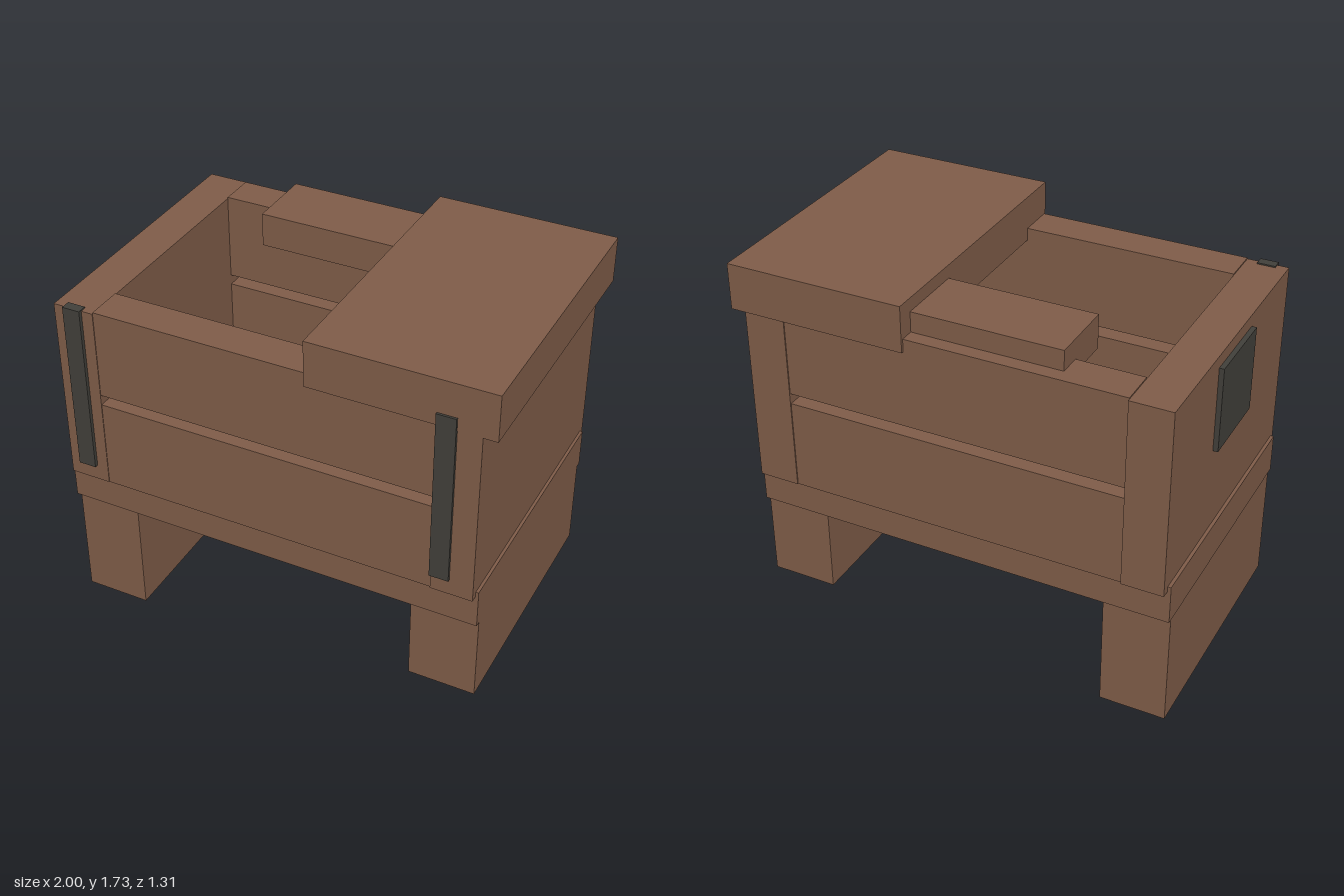
import * as THREE from 'three';

const wood = new THREE.MeshStandardMaterial({ color: 0x805d49 });
wood.name = 'brown wood';
const iron = new THREE.MeshStandardMaterial({ color: 0x42403b });
iron.name = 'dark iron';

// Box spanning the given [min, max] ranges
function block(name, material, [x0, x1], [y0, y1], [z0, z1]) {
  const mesh = new THREE.Mesh(new THREE.BoxGeometry(x1 - x0, y1 - y0, z1 - z0), material);
  mesh.position.set((x0 + x1) / 2, (y0 + y1) / 2, (z0 + z1) / 2);
  mesh.name = name;
  return mesh;
}

export function createModel() {
  const crate = new THREE.Group();
  crate.name = 'brokenCrate';
  const add = (...args) => crate.add(block(...args));

  // Uneven feet and floor
  add('rightFoot', wood, [-0.99, -0.69], [0, 0.545], [-0.59, 0.585]);
  add('leftFoot', wood, [0.645, 0.95], [0.135, 0.545], [-0.59, 0.585]);
  add('floor', wood, [-0.993, 0.95], [0.545, 0.725], [-0.617, 0.61]);

  // End walls
  add('rightEndWall', wood, [-0.978, -0.79], [0.7, 1.567], [-0.655, 0.638]);
  add('leftEndWall', wood, [0.75, 0.937], [0.7, 1.567], [-0.65, 0.642]);

  // Two planks on each long side, with a gap between
  for (const [side, z] of [['front', [0.465, 0.635]], ['back', [-0.645, -0.477]]]) {
    add(side + 'LowerPlank', wood, [-0.79, 0.75], [0.7, 1.113], z);
    add(side + 'UpperPlank', wood, [-0.79, 0.75], [1.162, 1.573], z);
  }

  // Remaining lid and a loose board beside it
  add('lid', wood, [0.185, 1], [1.515, 1.725], [-0.657, 0.645]);
  add('looseBoard', wood, [-0.49, 0.3], [1.51, 1.665], [-0.58, -0.262]);

  // Iron straps and end plate
  add('rightStrap', iron, [-0.925, -0.843], [0.775, 1.573], [0.61, 0.655]);
  add('leftStrap', iron, [0.748, 0.833], [0.775, 1.573], [0.61, 0.655]);
  add('endPlate', iron, [-1, -0.97], [1.12, 1.51], [-0.19, 0.183]);

  return crate;
}
